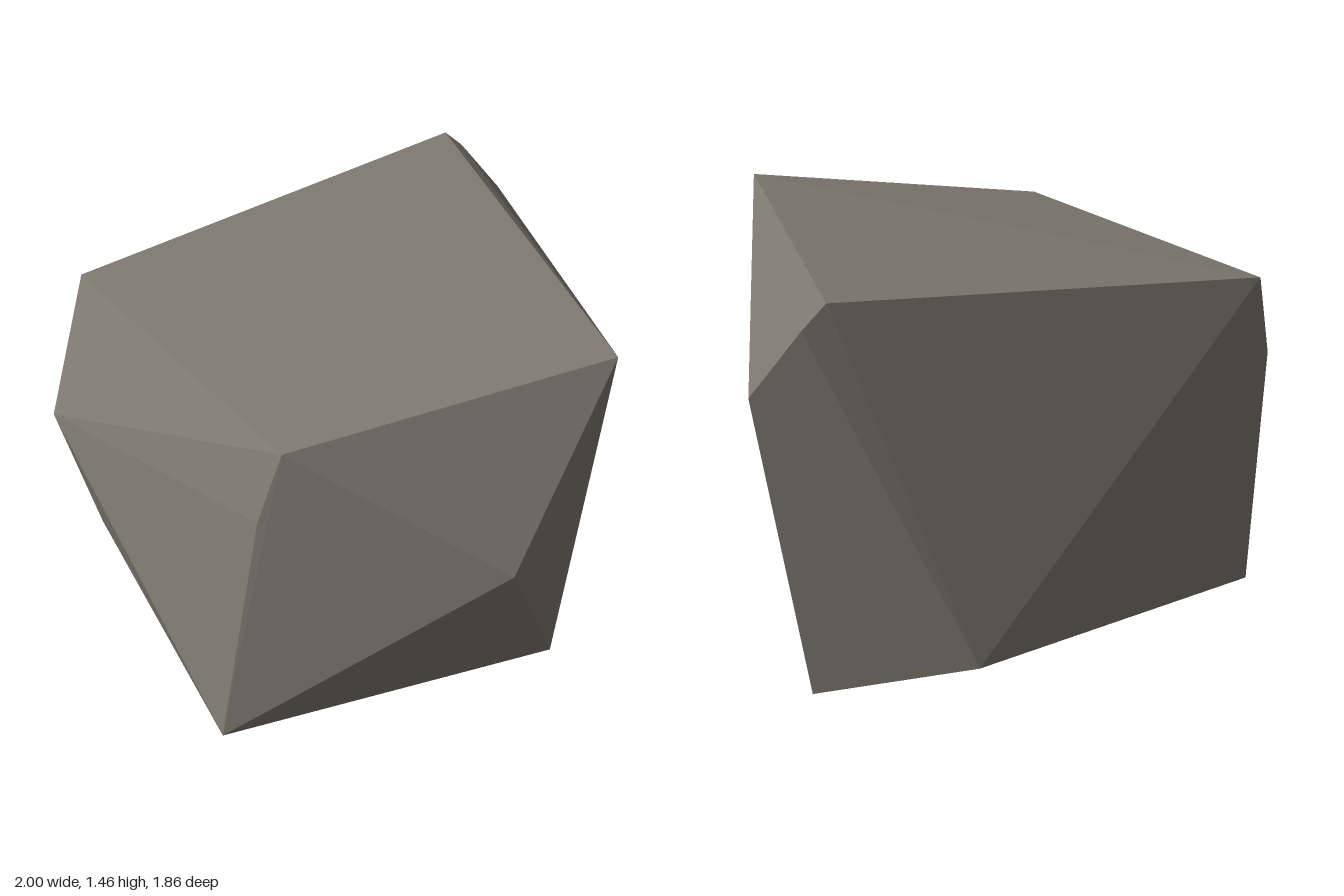
import * as THREE from 'three';
import { ConvexGeometry } from 'three/addons/geometries/ConvexGeometry.js';

// A chipped boulder: the convex hull of its corner points.
export function createModel() {
  const group = new THREE.Group();
  group.name = 'rock';

  const corners = [
    // top rim
    [-0.79, 1.25, -0.63], [-0.51, 1.19, 0.62], [0.59, 1.35, 0.77], [0.76, 1.46, -0.79],
    // chipped back left corner
    [0.84, 1.39, -0.8], [1.0, 1.19, -0.77],
    // side, front and back points
    [-1.0, 0.84, -0.4], [-0.6, 0.95, 0.62], [0.17, 0.7, 0.93], [0.34, 0.16, -0.93],
    // bottom rim
    [-0.78, 0.13, 0.68], [0.48, 0.08, 0.72], [0.52, 0.05, 0.5],
    [0.85, 0.11, -0.69], [0.86, 0.09, -0.77], [-0.81, 0.08, -0.68],
    // resting point
    [0.38, 0, 0.4],
  ].map((p) => new THREE.Vector3(...p));

  const stone = new THREE.MeshStandardMaterial({ color: 0x7d776e });
  stone.name = 'stone grey';

  const boulder = new THREE.Mesh(new ConvexGeometry(corners), stone);
  boulder.name = 'boulder';
  group.add(boulder);
  return group;
}
